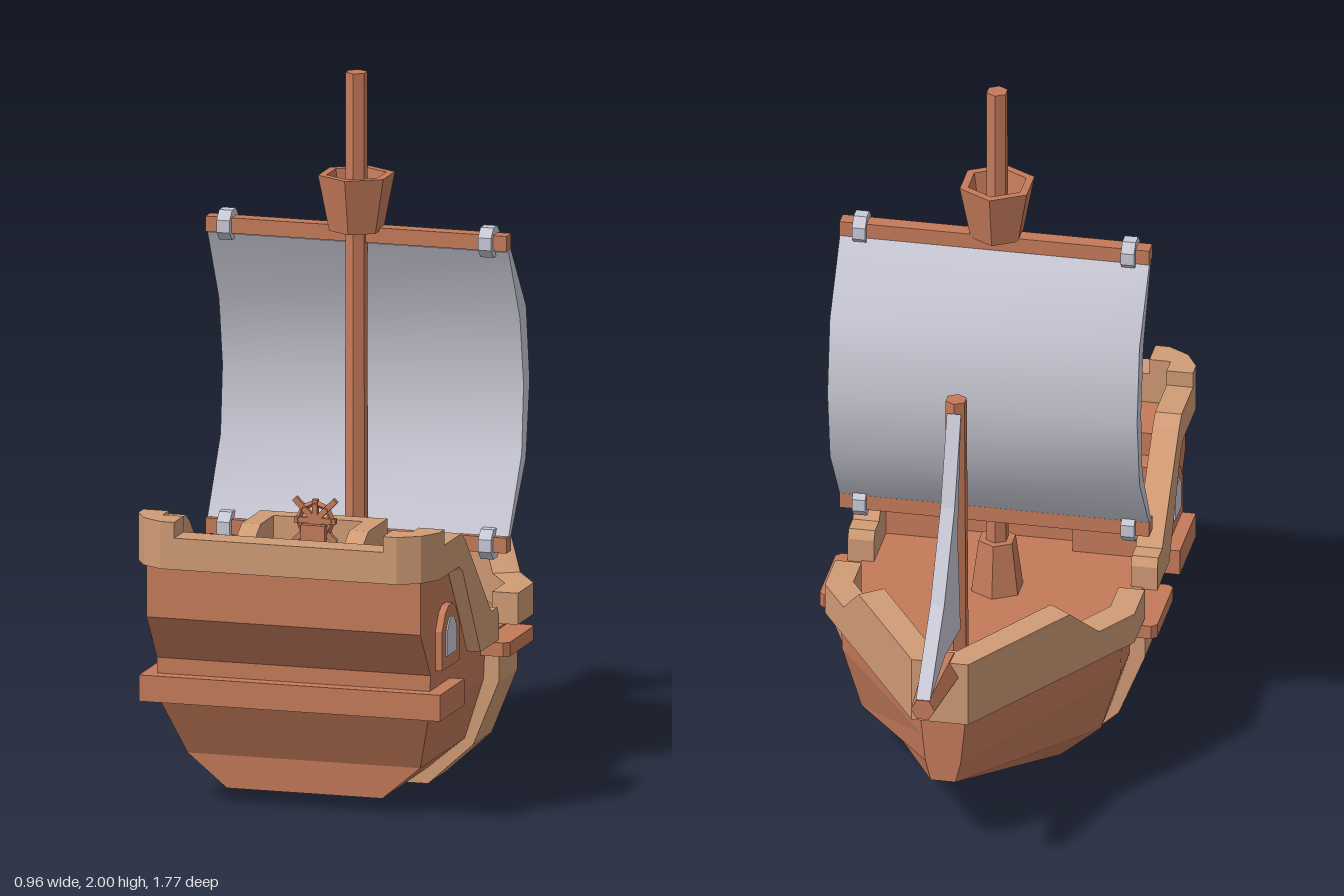
import * as THREE from 'three';
import { toCreasedNormals } from 'three/addons/utils/BufferGeometryUtils.js';

export function createModel() {
  const ship = new THREE.Group();
  ship.name = 'sailingShip';
  const mat = (name, color) => {
    const m = new THREE.MeshStandardMaterial({ color });
    m.name = name;
    return m;
  };
  const wood = mat('redWood', 0xc47a5a);
  const trim = mat('paleWood', 0xd09b75);
  const cloth = mat('cloth', 0xc9c9d6);

  const add = (name, geo, material, parent = ship) => {
    const mesh = new THREE.Mesh(geo, material);
    mesh.name = name;
    parent.add(mesh);
    return mesh;
  };
  const flat = (geo) => {
    const g = geo.index ? geo.toNonIndexed() : geo;
    g.computeVertexNormals();
    return g;
  };
  const shapeOf = (pts) => new THREE.Shape(pts.map((p) => new THREE.Vector2(...p)));
  // Side profile of (z, y) points, spanning x0 to x1
  const sideSlab = (pts, x0, x1) =>
    new THREE.ExtrudeGeometry(shapeOf(pts), { depth: x1 - x0, bevelEnabled: false })
      .rotateY(-Math.PI / 2).translate(x1, 0, 0);
  // Plan outline of (x, z) points, spanning y0 to y1
  const planSlab = (pts, y0, y1) =>
    new THREE.ExtrudeGeometry(shapeOf(pts), { depth: y1 - y0, bevelEnabled: false })
      .rotateX(Math.PI / 2).translate(0, y1, 0);
  const box = (x0, x1, y0, y1, z0, z1) =>
    new THREE.BoxGeometry(x1 - x0, y1 - y0, z1 - z0)
      .translate((x0 + x1) / 2, (y0 + y1) / 2, (z0 + z1) / 2);
  const hexPole = (rTop, rBottom, y0, y1, z) =>
    flat(new THREE.CylinderGeometry(rTop, rBottom, y1 - y0, 6).translate(0, (y0 + y1) / 2, z));
  const mirrorX = (pts) => pts.concat([...pts].reverse().map(([x, ...r]) => [-x, ...r]));
  // Closed loft through equal rings of [x, y, z], with capped ends
  const loft = (rings) => {
    const n = rings[0].length, out = [];
    const tri = (a, b, c) => out.push(...a, ...b, ...c);
    for (let s = 0; s < rings.length - 1; s++) {
      for (let k = 0; k < n; k++) {
        const j = (k + 1) % n, A = rings[s], B = rings[s + 1];
        tri(A[k], A[j], B[k]);
        tri(A[j], B[j], B[k]);
      }
    }
    const F = rings[0], L = rings[rings.length - 1];
    for (let k = 0; k < n / 2 - 1; k++) {
      const m = n - 1 - k;
      tri(F[k], F[m], F[m - 1]);
      tri(F[k], F[m - 1], F[k + 1]);
      tri(L[k], L[m - 1], L[m]);
      tri(L[k], L[k + 1], L[m - 1]);
    }
    const g = new THREE.BufferGeometry();
    g.setAttribute('position', new THREE.Float32BufferAttribute(out, 3));
    g.computeVertexNormals();
    return g;
  };

  // Hull: raked stern, straight middle, tapered bow
  const section = [[0.4, 0.43], [0.395, 0.31], [0.34, 0.137], [0.227, 0.042]];
  const sternZ = [0.745, 0.745, 0.65, 0.645];
  const bow = [[0.065, 0.43, -0.6], [0.058, 0.36, -0.6], [0.05, 0.28, -0.6], [0.035, 0.22, -0.6]];
  add('hull', loft([
    mirrorX(section.map(([x, y], i) => [x, y, sternZ[i]])),
    mirrorX(section.map(([x, y]) => [x, y, -0.06])),
    mirrorX(bow),
  ]), wood);

  // Midship rib and the ledges above it
  const rib = shapeOf(mirrorX([[0.44, 0.385], [0.44, 0.305], [0.365, 0.12], [0.233, 0]]));
  add('midshipRib', new THREE.ExtrudeGeometry(rib, { depth: 0.17, bevelEnabled: false })
    .translate(0, 0, 0.07), trim);
  for (const s of [1, -1]) {
    add('sideLedge', planSlab([[0.36, 0.03], [0.465, 0.03], [0.48, 0.045], [0.48, 0.265],
      [0.465, 0.28], [0.36, 0.28]].map(([x, z]) => [s * x, z]), 0.385, 0.425), wood);
  }
  add('sternLedge', box(-0.44, 0.44, 0.305, 0.38, 0.56, 0.785), wood);

  // Bow rail with a raised front
  const railStations = mirrorX([
    [0.44, 0.365, 0.065, 0.065, 0.52],
    [0.44, 0.365, -0.08, -0.05, 0.52],
    [0.3635, 0.295, -0.2, -0.16, 0.52],
    [0.3, 0.237, -0.3, -0.252, 0.62],
    [0.08, 0.035, -0.645, -0.57, 0.62],
  ].map(([xo, xi, ...r]) => [xo, ...r, xi]));
  add('bowRail', loft(railStations.map(([xo, zo, zi, top, xi]) => {
    const inner = Math.sign(xo) * xi;
    return [[xo, top, zo], [xo, 0.43, zo], [inner, 0.43, zi], [inner, top, zi]];
  })), trim);

  // Stern castle
  add('sternCabin', sideSlab([[0.745, 0.425], [0.84, 0.56], [0.84, 0.71], [0.62, 0.71],
    [0.62, 0.425]], -0.4, 0.4), wood);
  add('quarterdeckFront', box(-0.165, 0.165, 0.43, 0.71, 0.47, 0.62), wood);
  const wall = [[0.63, 0.425], [0.63, 0.71], [0.6, 0.71], [0.4, 0.425]];
  const sideRail = [[0.76, 0.71], [0.76, 0.8], [0.585, 0.8], [0.55, 0.775], [0.31, 0.52],
    [0.255, 0.52], [0.24, 0.495], [0.24, 0.425], [0.41, 0.425], [0.575, 0.69], [0.61, 0.71]];
  const arch = (w, y0, y1) => [[-w, y0], [w, y0], [w, y1 - w * 0.8], [w * 0.6, y1 - w * 0.2],
    [w * 0.25, y1], [-w * 0.25, y1], [-w * 0.6, y1 - w * 0.2], [-w, y1 - w * 0.8]]
    .map(([z, y]) => [z + 0.622, y]);
  for (const s of [1, -1]) {
    const span = (a, b) => (s > 0 ? [a, b] : [-b, -a]);
    add('castleWall', sideSlab(wall, ...span(0.365, 0.4)), wood);
    add('castleRail', sideSlab(sideRail, ...span(0.365, 0.44)), trim);
    add('windowFrame', sideSlab(arch(0.08, 0.43, 0.605), ...span(0.39, 0.42)), wood);
    add('windowPane', sideSlab(arch(0.043, 0.465, 0.57), ...span(0.418, 0.424)), cloth);
    // Corner post of the stern rail
    add('sternPost', planSlab([[0.305, 0.885], [0.345, 0.885], [0.405, 0.85], [0.44, 0.79],
      [0.44, 0.745], [0.365, 0.745], [0.365, 0.8], [0.305, 0.8]]
      .map(([x, z]) => [s * x, z]), 0.8, 0.845), trim);
    // Stairs up to the quarterdeck
    for (let i = 0; i < 3; i++) {
      add('stair', box(...span(0.165, 0.366), 0.43, 0.5 + i * 0.07, 0.41 + i * 0.07, 0.625), wood);
    }
    add('balustradeSide', sideSlab([[0.465, 0.71], [0.465, 0.8], [0.64, 0.8], [0.69, 0.77],
      [0.71, 0.71]], ...span(0.13, 0.185)), trim);
  }
  add('sternRail', planSlab(mirrorX([[0.345, 0.885], [0.405, 0.85], [0.44, 0.79],
    [0.44, 0.745], [0.365, 0.745], [0.365, 0.8]]), 0.71, 0.8), trim);
  add('balustradeFront', box(-0.13, 0.13, 0.71, 0.8, 0.465, 0.52), trim);

  // Steering wheel on its stand
  const wheel = new THREE.Group();
  wheel.name = 'steeringWheel';
  wheel.position.set(0, 0.8, 0.545);
  ship.add(wheel);
  add('wheelRim', flat(new THREE.TorusGeometry(0.05, 0.009, 4, 8)), wood, wheel);
  for (let i = 0; i < 4; i++) {
    add('wheelSpoke', new THREE.BoxGeometry(i % 2 ? 0.17 : 0.12, 0.016, 0.016)
      .rotateZ((i * Math.PI) / 4), wood, wheel);
  }
  add('wheelStand', box(-0.035, 0.035, 0.71, 0.79, 0.55, 0.57), wood);

  // Masts and lookout
  add('mainMast', hexPole(0.031, 0.033, 0.43, 2, 0.165), wood);
  add('mastFoot', hexPole(0.055, 0.077, 0.425, 0.585, 0.165), wood);
  add('foreMast', hexPole(0.031, 0.037, 0.43, 1.33, -0.413), wood);
  const nest = [[0, 1.55], [0.078, 1.55], [0.11, 1.71], [0.085, 1.71], [0.065, 1.59], [0, 1.59]];
  add('crowsNest', flat(new THREE.LatheGeometry(nest.map((p) => new THREE.Vector2(...p)), 6)
    .translate(0, 0, 0.165)), wood);

  // Bowsprit, tilted by shearing so the tip stays upright
  const sprit = new THREE.CylinderGeometry(0.034, 0.058, 0.3, 6)
    .rotateY(Math.PI / 2).rotateX(-Math.PI / 2).translate(0, 0, -0.735);
  const p = sprit.attributes.position;
  for (let i = 0; i < p.count; i++) {
    p.setY(i, p.getY(i) + 0.572 + (-0.585 - p.getZ(i)) * 0.08);
  }
  add('bowsprit', flat(sprit), wood);

  // Yards with sail rings
  for (const y of [1.538, 0.677]) {
    add('yard', box(-0.44, 0.44, y - 0.022, y + 0.022, 0.126, 0.17), wood);
    for (const x of [-0.382, 0.382]) {
      add('sailRing', flat(new THREE.CylinderGeometry(0.046, 0.046, 0.038, 8)
        .rotateY(Math.PI / 8).rotateZ(Math.PI / 2).translate(x, y, 0.148)), cloth);
    }
  }

  // Billowing main sail, a crescent in section
  const crescent = [[0.14, 1.53], [-0.012, 1.325], [-0.045, 1.105], [-0.01, 0.89], [0.14, 0.68],
    [0.155, 0.69], [0.03, 0.91], [0.012, 1.105], [0.045, 1.3], [0.15, 1.51]];
  add('mainSail', toCreasedNormals(sideSlab(crescent, -0.44, 0.44), 0.65), cloth);

  // Triangular fore sail
  const jib = [[-0.445, 1.3], [-0.535, 1.05], [-0.68, 0.82], [-0.882, 0.625], [-0.667, 0.655],
    [-0.45, 0.625], [-0.49, 0.94]];
  add('foreSail', sideSlab(jib, -0.02, 0.02), cloth);

  return ship;
}
